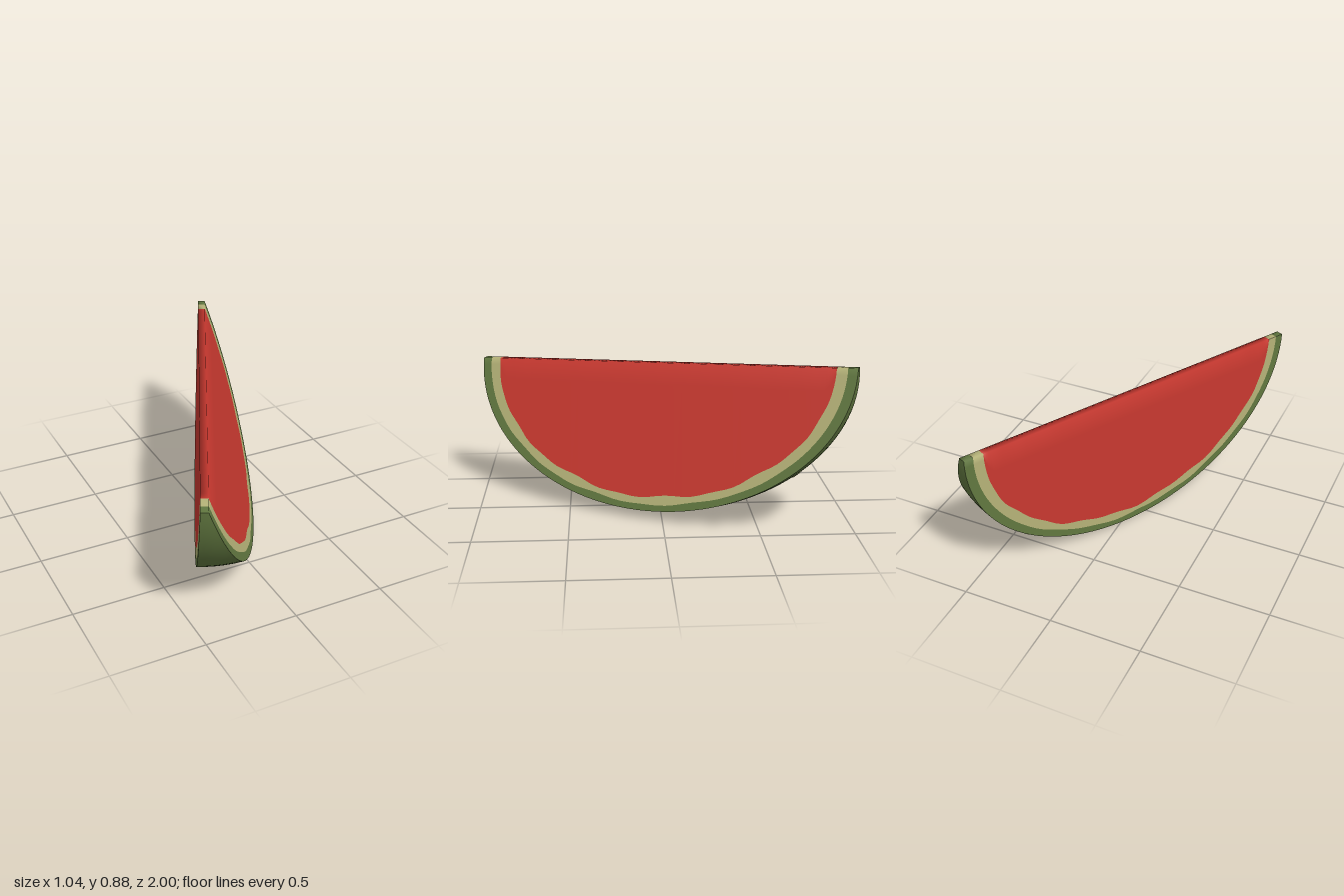
import * as THREE from 'three';

const V = (x, y, z) => new THREE.Vector3(x, y, z);
const N = 64;              // columns along the slice
const HALF = 1.095;        // half length of the straight top ridge
const AXIS = V(0.428, 0.057, -0.902).normalize();

// The two cut faces: start point on the ridge and the direction down the face
const SIDES = [
  { origin: V(-0.05, 0.8125, -0.01), down: V(-0.007, -0.804, -0.053).normalize(), depth: 0.813 },
  { origin: V(-0.014, 0.8125, 0.007), down: V(0.256, -0.757, 0.074).normalize(), depth: 0.806 },
];

// Point on a cut face from distance along the ridge and depth below it
const onFace = (k, s, t) =>
  SIDES[k].origin.clone().addScaledVector(AXIS, s).addScaledVector(SIDES[k].down, t);

// Half-ellipse coordinates of a face, pulled in from the rim by an inset
const curve = (k, a, inset) => [-(HALF - inset) * Math.cos(a), (SIDES[k].depth - inset) * Math.sin(a)];

// Uneven insets of the colour borders
const wobble = (a, k) => (0.006 * Math.sin(11 * a + 2 * k) + 0.005 * Math.sin(23 * a + k)) * Math.sin(a);
const skinInset = (a, k) => 0.036 + 0.016 * Math.cos(a) ** 2 + 0.6 * wobble(a + 0.4, k) * Math.sin(a);
const fleshInset = (a, k) => 0.076 + 0.034 * Math.cos(a) ** 2 + wobble(a, k);
const noInset = () => 0;

// Point on the gently bulging rind, f runs from one face to the other
function rindPoint(a, f, lift = 0) {
  const p = onFace(0, ...curve(0, a, 0)).lerp(onFace(1, ...curve(1, a, 0)), f);
  const out = SIDES[0].down.clone().add(SIDES[1].down).normalize().multiplyScalar(Math.sin(a))
    .addScaledVector(AXIS, -Math.cos(a) * 0.7).normalize();
  return p.addScaledVector(out, 0.012 * 4 * f * (1 - f) * Math.sin(a) + lift);
}

// Smooth surface through rows of points
function loft(rows) {
  const w = rows[0].length, index = [];
  for (let r = 0; r < rows.length - 1; r++) {
    for (let c = 0; c < w - 1; c++) {
      const p = r * w + c;
      index.push(p, p + 1, p + w, p + 1, p + w + 1, p + w);
    }
  }
  const g = new THREE.BufferGeometry().setFromPoints(rows.flat());
  g.setIndex(index);
  g.computeVertexNormals();
  return g;
}

const angles = Array.from({ length: N + 1 }, (_, i) => (Math.PI * i) / N);

// Closed loop around both faces and over the ridge ends
function rimLoop(inset) {
  const side = (k) => angles.map((a) => onFace(k, ...curve(k, a, inset(a, k))));
  const loop = [...side(0), ...side(1).reverse()];
  return [...loop, loop[0].clone()];
}

// Flesh: down both faces, with a softened ridge on top
function fleshGeometry() {
  const row = (k, level) => angles.map((a) => {
    const [s, t] = curve(k, a, fleshInset(a, k));
    return onFace(k, s, [0, Math.min(0.12, t * 0.5), t][level]);
  });
  return loft([row(1, 2), row(1, 1), row(1, 0), row(0, 0), row(0, 1), row(0, 2)]);
}

// Small pale blotch lying on the rind
function blotchGeometry(a, f, da, df) {
  const ring = (scale) => Array.from({ length: 13 }, (_, i) => {
    const q = (i / 12) * Math.PI * 2, r = scale * (1 + 0.18 * Math.sin(3 * q + a));
    return rindPoint(a + da * r * Math.cos(q), f + df * r * Math.sin(q), 0.005);
  });
  return loft([ring(0), ring(1)]);
}

export function createModel() {
  const model = new THREE.Group();
  model.name = 'melonSlice';
  const material = (name, color, side = THREE.DoubleSide) => {
    const m = new THREE.MeshStandardMaterial({ color, side });
    m.name = name;
    return m;
  };
  const red = material('fleshRed', 0xc7382f);
  const pale = material('paleRind', 0xb4b177);
  const green = material('skinGreen', 0x60763f);

  const add = (name, geometry, mat) => {
    const mesh = new THREE.Mesh(geometry, mat);
    mesh.name = name;
    model.add(mesh);
  };

  add('flesh', fleshGeometry(), red);
  add('paleRindBand', loft([rimLoop(fleshInset), rimLoop(skinInset)]), pale);
  add('skinEdge', loft([rimLoop(skinInset), rimLoop(noInset)]), green);

  // Outer rind
  const steps = [0, 0.2, 0.4, 0.6, 0.8, 1];
  add('outerRind', loft(steps.map((f) => angles.map((a) => rindPoint(a, f)))), green);

  // Pale blotches on the rind
  [[2.38, 0.76, 0.03, 0.08], [2.32, 0.1, 0.03, 0.07], [1.92, 0.12, 0.05, 0.07]].forEach((b, i) =>
    add('rindBlotch' + (i + 1), blotchGeometry(...b), pale));

  return model;
}
